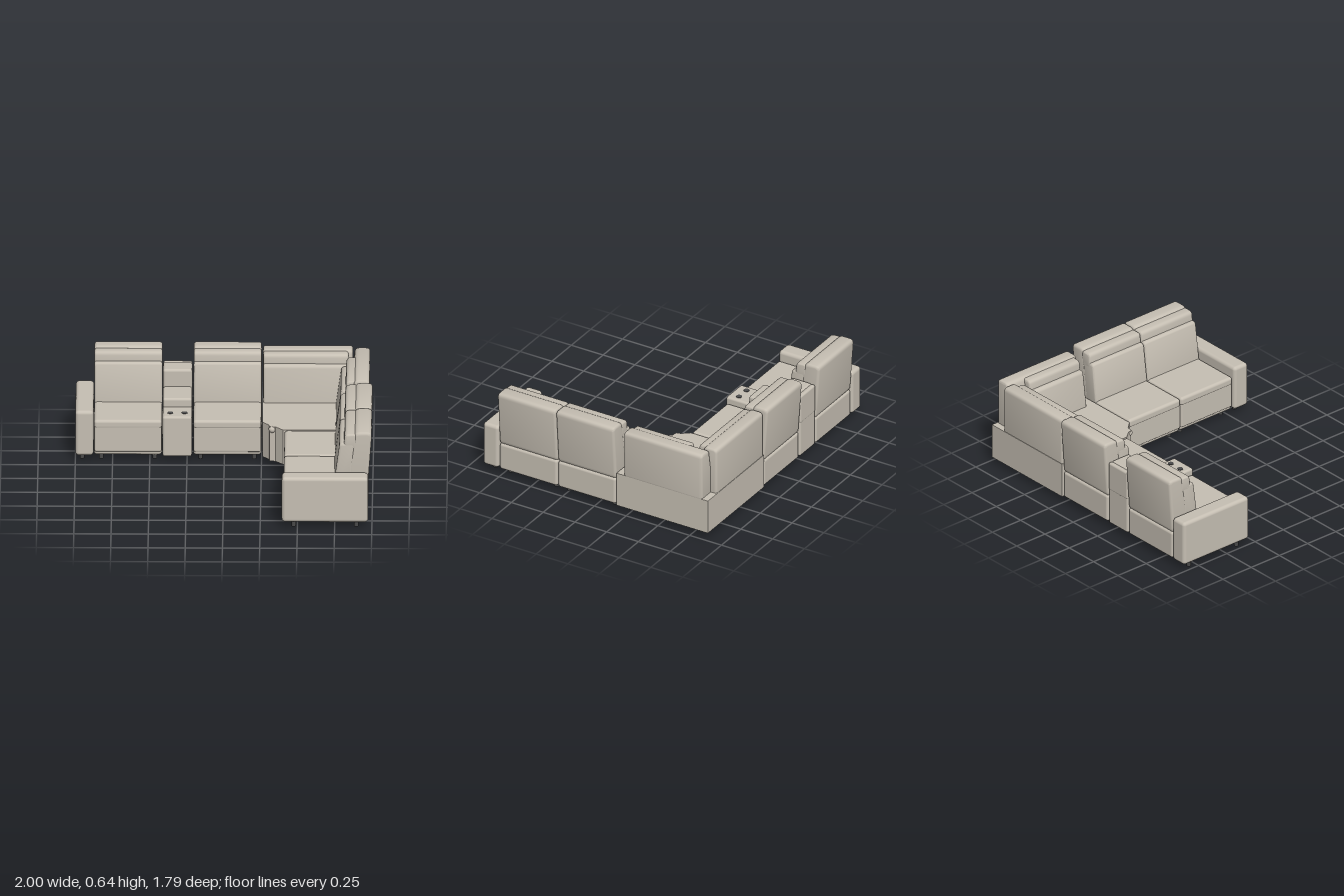
import * as THREE from 'three';
import { RoundedBoxGeometry } from 'three/addons/geometries/RoundedBoxGeometry.js';
import { toCreasedNormals } from 'three/addons/utils/BufferGeometryUtils.js';

const fabric = new THREE.MeshStandardMaterial({ color: 0xc6bfb3 });
fabric.name = 'warm grey upholstery';
const dark = new THREE.MeshStandardMaterial({ color: 0x4a4a4a });
dark.name = 'dark metal';

function add(parent, name, geometry, material = fabric) {
  const mesh = new THREE.Mesh(geometry, material);
  mesh.name = name;
  parent.add(mesh);
  return mesh;
}

// Soft box given by its limits on each axis
function softBox(parent, name, [x0, x1], [y0, y1], [z0, z1], r = 0.02) {
  const mesh = add(parent, name, new RoundedBoxGeometry(x1 - x0, y1 - y0, z1 - z0, 3, r));
  mesh.position.set((x0 + x1) / 2, (y0 + y1) / 2, (z0 + z1) / 2);
  return mesh;
}

// Polygon with rounded corners
function roundedShape(points, r) {
  const shape = new THREE.Shape();
  const pts = points.map(([x, y]) => new THREE.Vector2(x, y));
  pts.forEach((p, i) => {
    const toward = (q) => q.clone().sub(p).setLength(r).add(p);
    const a = toward(pts[(i + pts.length - 1) % pts.length]);
    const b = toward(pts[(i + 1) % pts.length]);
    if (i === 0) shape.moveTo(a.x, a.y); else shape.lineTo(a.x, a.y);
    shape.quadraticCurveTo(p.x, p.y, b.x, b.y);
  });
  shape.closePath();
  return shape;
}

// Cushion with a (depth, height) profile, swept across its width from x0 to x1
function pad(parent, name, x0, x1, profile, r = 0.014) {
  const depth = x1 - x0 - 2 * r;
  const g = new THREE.ExtrudeGeometry(roundedShape(profile, r * 1.8), {
    depth, bevelEnabled: true, bevelThickness: r, bevelSize: r, bevelOffset: -r,
    bevelSegments: 3, curveSegments: 5,
  });
  g.translate(0, 0, -depth / 2).rotateY(-Math.PI / 2);
  const mesh = add(parent, name, toCreasedNormals(g, 0.6));
  mesh.position.x = (x0 + x1) / 2;
}

function leg(parent, x, z) {
  add(parent, 'leg', new THREE.CylinderGeometry(0.015, 0.015, 0.05, 16), dark).position.set(x, 0.025, z);
}

// Lower cushion and headrest in front of a back shell
function backPads(parent, x0, x1, drop = 0) {
  pad(parent, 'backCushion', x0, x1,
    [[-0.16, 0.27], [-0.045, 0.27], [-0.085, 0.565 - drop], [-0.19, 0.565 - drop]]);
  pad(parent, 'headrest', x0, x1,
    [[-0.2, 0.52 - drop], [-0.11, 0.52 - drop], [-0.12, 0.628 - drop], [-0.2, 0.632 - drop]]);
}

// Reclining seat facing +z, centred on its own origin
function recliner(w) {
  const g = new THREE.Group();
  g.name = 'reclinerSeat';
  const h = w / 2;
  softBox(g, 'seatBase', [-h, h], [0.043, 0.243], [-0.275, 0.28]);
  softBox(g, 'footrestPanel', [-h + 0.002, h - 0.002], [0.07, 0.254], [0.25, 0.29], 0.012);
  softBox(g, 'seatCushion', [-h, h], [0.235, 0.297], [-0.2, 0.292], 0.02);
  pad(g, 'backShell', -h, h,
    [[-0.272, 0.235], [-0.12, 0.235], [-0.186, 0.642], [-0.302, 0.642]], 0.018);
  backPads(g, -h, h);
  for (const x of [-0.18, 0.18]) for (const z of [-0.2, 0.22]) leg(g, x, z);
  return g;
}

function consoleUnit() {
  const g = new THREE.Group();
  g.name = 'console';
  const x = [-0.414, -0.218];
  softBox(g, 'consoleBase', x, [0.043, 0.332], [-0.875, -0.29], 0.016);
  softBox(g, 'consoleLid', x, [0.32, 0.392], [-0.7, -0.47], 0.016);
  softBox(g, 'consoleBack', x, [0.3, 0.512], [-0.85, -0.695], 0.018);
  softBox(g, 'consoleRearPanel', x, [0.3, 0.508], [-0.878, -0.842], 0.014);
  for (const cx of [-0.363, -0.267]) {
    add(g, 'cupHolder', new THREE.CylinderGeometry(0.02, 0.02, 0.006, 24), dark).position.set(cx, 0.332, -0.365);
  }
  return g;
}

function cornerUnit() {
  const g = new THREE.Group();
  g.name = 'cornerUnit';
  // Wedge base with a cut inner corner
  const outline = [[0.255, -0.878], [0.975, -0.878], [0.975, -0.16], [0.395, -0.16],
    [0.345, -0.215], [0.305, -0.222], [0.298, -0.252], [0.255, -0.305]];
  const shape = new THREE.Shape(outline.map(([x, z]) => new THREE.Vector2(x, -z)));
  const base = new THREE.ExtrudeGeometry(shape, { depth: 0.249, bevelEnabled: false });
  base.rotateX(-Math.PI / 2).translate(0, 0.043, 0);
  add(g, 'cornerBase', base);
  const knob = add(g, 'cornerKnob', new THREE.SphereGeometry(0.024, 20, 14));
  knob.position.set(0.322, 0.27, -0.228);

  // Two upright backs meeting at the corner
  const shell = [[-0.276, 0.27], [-0.12, 0.27], [-0.175, 0.626], [-0.276, 0.626]];
  const rear = new THREE.Group();
  rear.name = 'rearBack';
  rear.position.z = -0.6;
  pad(rear, 'backShell', 0.257, 0.86, shell, 0.016);
  backPads(rear, 0.26, 0.83, 0.015);
  const side = new THREE.Group();
  side.name = 'sideBack';
  side.rotation.y = -Math.PI / 2;
  side.position.x = 0.7;
  pad(side, 'backShell', -0.83, -0.215, shell, 0.016);
  backPads(side, -0.68, -0.23, 0.015);
  g.add(rear, side);
  for (const [x, z] of [[0.295, -0.38], [0.295, -0.8], [0.9, -0.8], [0.9, -0.22], [0.42, -0.22]]) leg(g, x, z);
  return g;
}

export function createModel() {
  const model = new THREE.Group();
  model.name = 'cornerSofa';

  // Seats along the rear and down the side
  for (const [x, z, turn] of [[-0.647, -0.6, 0], [0.02, -0.6, 0],
    [0.698, 0.078, -Math.PI / 2], [0.698, 0.538, -Math.PI / 2]]) {
    const seat = recliner(0.456);
    seat.position.set(x, 0, z);
    seat.rotation.y = turn;
    model.add(seat);
  }
  model.add(consoleUnit(), cornerUnit());

  // End arms
  softBox(model, 'rearArm', [-1, -0.878], [0.043, 0.365], [-0.88, -0.3], 0.024);
  softBox(model, 'sideArm', [0.395, 0.975], [0.043, 0.365], [0.772, 0.895], 0.024);
  for (const [x, z] of [[-0.955, -0.8], [-0.955, -0.38], [0.475, 0.84], [0.895, 0.84]]) leg(model, x, z);
  return model;
}
